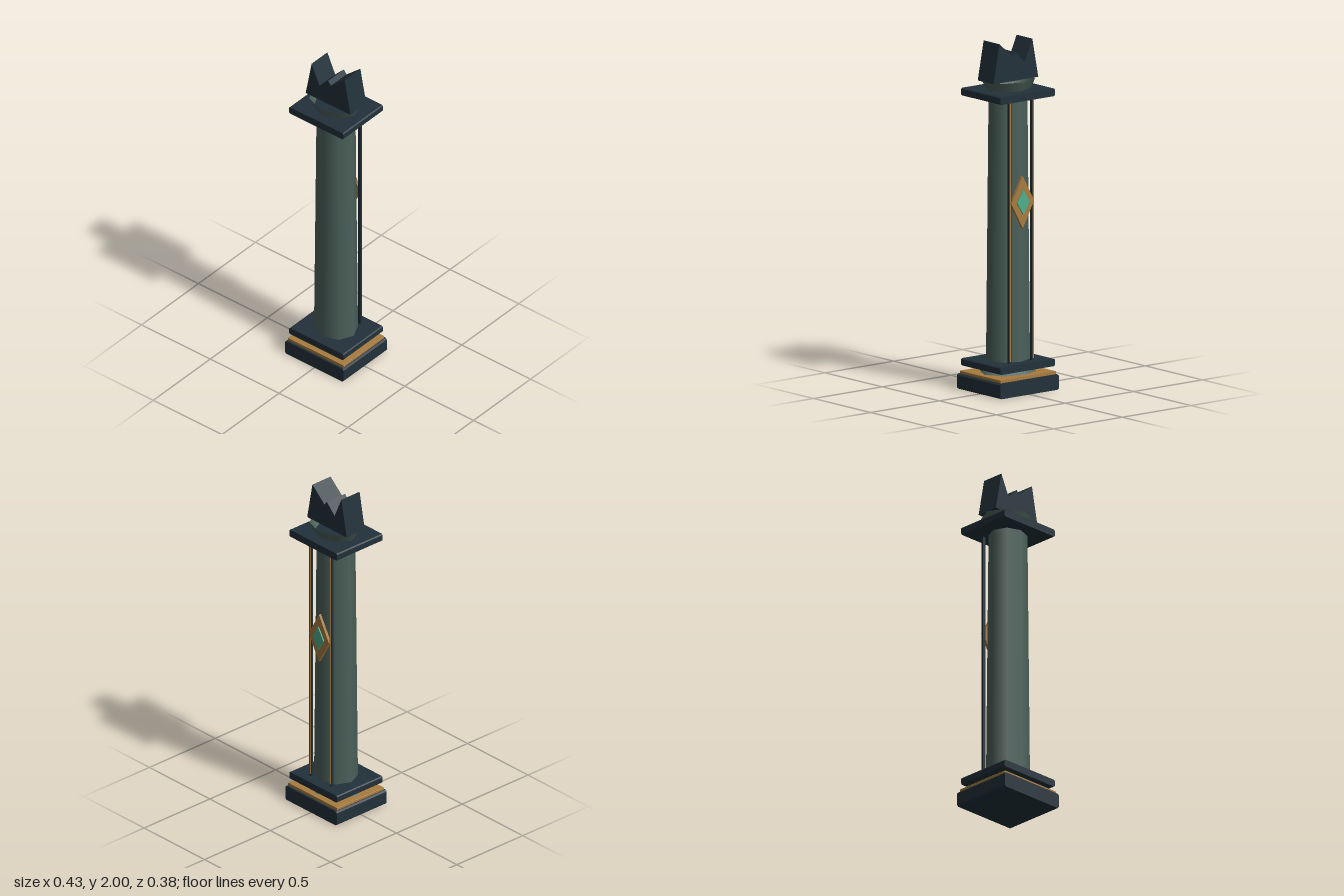
import * as THREE from 'three';

export function createModel() {
  const model = new THREE.Group();
  const paint = (color) => new THREE.MeshStandardMaterial({ color, side: THREE.DoubleSide });
  const dark = paint(0x22313a);
  const stone = paint(0x4c615b);
  const gold = paint(0xa87b3f);
  const gem = paint(0x4fae8c);

  const add = (name, geometry, material, x = 0, y = 0, z = 0) => {
    const mesh = new THREE.Mesh(geometry, material);
    mesh.name = name;
    mesh.position.set(x, y, z);
    model.add(mesh);
    return mesh;
  };

  // Outline pulled along z and centred on z = 0
  const prism = (points, depth) =>
    new THREE.ExtrudeGeometry(new THREE.Shape(points.map(([x, y]) => new THREE.Vector2(x, y))),
      { depth, bevelEnabled: false }).translate(0, 0, -depth / 2);

  // Slab with small chamfers on its left and right edges
  const slab = (name, w, d, y0, y1, c, material) => add(name, prism([
    [-w + c, y0], [w - c, y0], [w, y0 + c], [w, y1 - c],
    [w - c, y1], [-w + c, y1], [-w, y1 - c], [-w, y0 + c],
  ], d * 2), material);

  // Eight-sided drum, slightly flattened front to back
  const drum = (name, top, bottom, y0, y1, flat) => add(name,
    new THREE.CylinderGeometry(top, bottom, y1 - y0, 8, 1, true).scale(1, 1, flat),
    stone, 0, (y0 + y1) / 2);

  // Base
  slab('plinth', 0.213, 0.19, 0, 0.088, 0.009, dark);
  slab('plinthTrim', 0.202, 0.178, 0.088, 0.105, 0.002, gold);
  drum('baseMoulding', 0.135, 0.175, 0.1, 0.137, 0.86);
  slab('lowerSlab', 0.197, 0.173, 0.134, 0.176, 0.006, dark);

  // Column
  drum('shaft', 0.114, 0.129, 0.17, 1.69, 0.91);

  // Capital
  slab('upperSlab', 0.197, 0.173, 1.678, 1.722, 0.006, dark);
  drum('capital', 0.163, 0.134, 1.72, 1.776, 0.85);

  // Jagged broken crown
  add('brokenCrown', prism([
    [-0.163, 1.776], [0.163, 1.776], [0.12, 2], [0.02, 1.913],
    [0, 1.938], [-0.063, 1.873], [-0.12, 2],
  ], 0.138), dark);

  // Two rails standing behind the shaft, each with a thin facing strip
  for (const side of [-1, 1]) {
    add('rearRail', new THREE.BoxGeometry(0.018, 1.505, 0.014), dark, side * 0.083, 0.927, -0.112);
    add('railTrim', new THREE.BoxGeometry(0.008, 1.48, 0.004), gold, side * 0.083, 0.927, -0.12);
  }

  // Diamond emblem on the back
  const diamond = (w, h) => [[0, -h], [w, 0], [0, h], [-w, 0]];
  add('diamondFrame', prism(diamond(0.083, 0.15), 0.016), gold, 0, 1.09, -0.122);
  add('gemstone', prism(diamond(0.045, 0.073), 0.014), gem, 0, 1.09, -0.13);

  return model;
}
